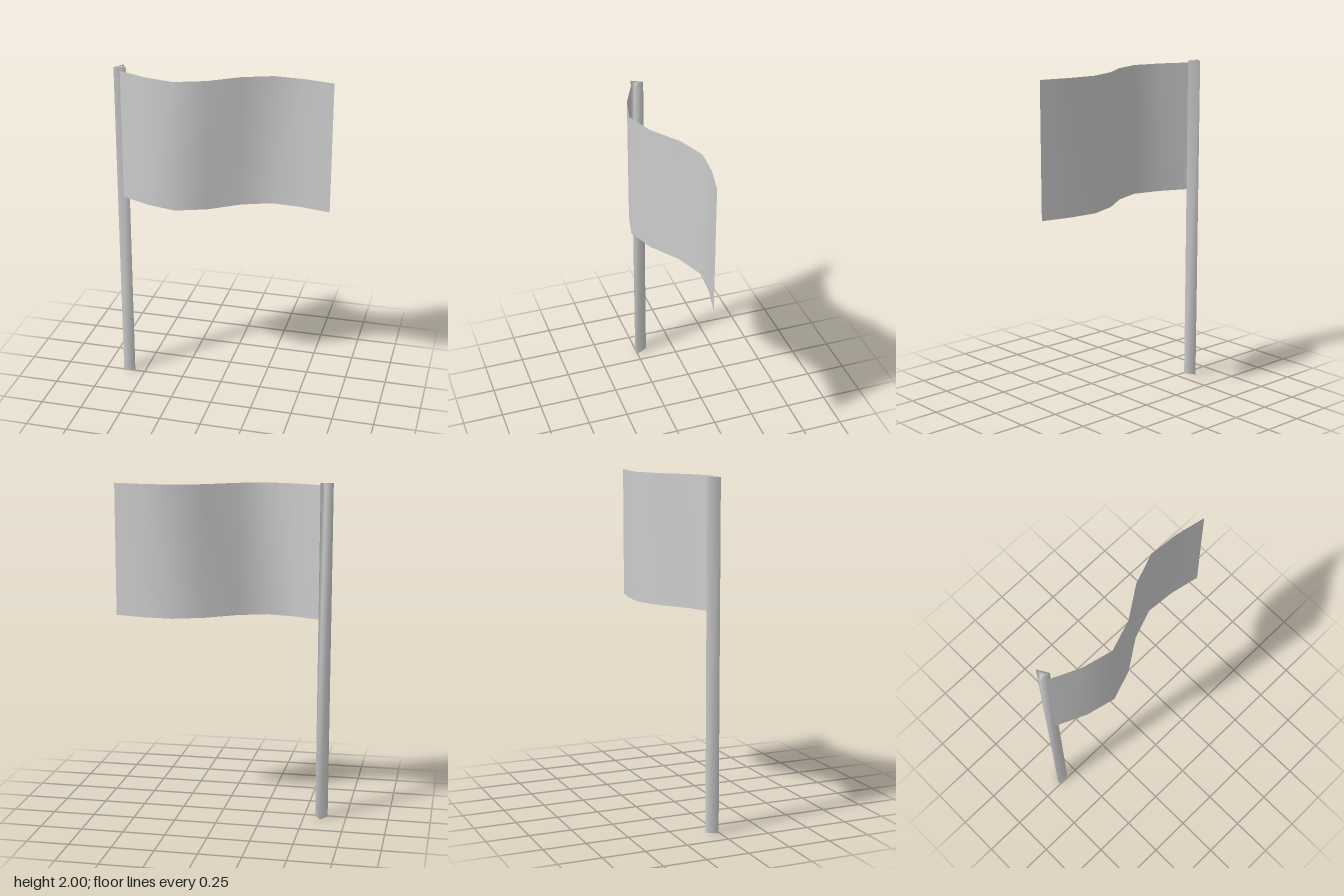
import * as THREE from 'three';
import { mergeVertices } from 'three/addons/utils/BufferGeometryUtils.js';

export function createModel() {
  const model = new THREE.Group();
  model.name = 'flagOnPole';
  const grey = new THREE.MeshStandardMaterial({ color: 0xcccccc, side: THREE.DoubleSide });
  grey.name = 'lightGrey';

  // Three-sided pole, one corner pointing back, normals shared across every edge
  let poleGeo = new THREE.CylinderGeometry(0.0433, 0.0433, 2, 3, 1, false, Math.PI);
  poleGeo.deleteAttribute('uv');
  poleGeo.deleteAttribute('normal');
  poleGeo = mergeVertices(poleGeo);
  poleGeo.computeVertexNormals();
  const pole = new THREE.Mesh(poleGeo, grey);
  pole.name = 'pole';
  pole.position.set(-0.602, 1, -0.029);
  model.add(pole);

  // Thin waving cloth: seven strips bent along a wave
  const wave = [0.005, 0.085, 0.127, 0.065, -0.055, -0.12, -0.107, -0.07];
  const clothGeo = new THREE.PlaneGeometry(1.235, 0.785, wave.length - 1, 1);
  const pos = clothGeo.attributes.position;
  for (let i = 0; i < pos.count; i++) pos.setZ(i, wave[i % wave.length]);
  clothGeo.computeVertexNormals();
  const cloth = new THREE.Mesh(clothGeo, grey);
  cloth.name = 'flagCloth';
  cloth.position.set(0.0195, 1.5925, 0);
  model.add(cloth);

  return model;
}
